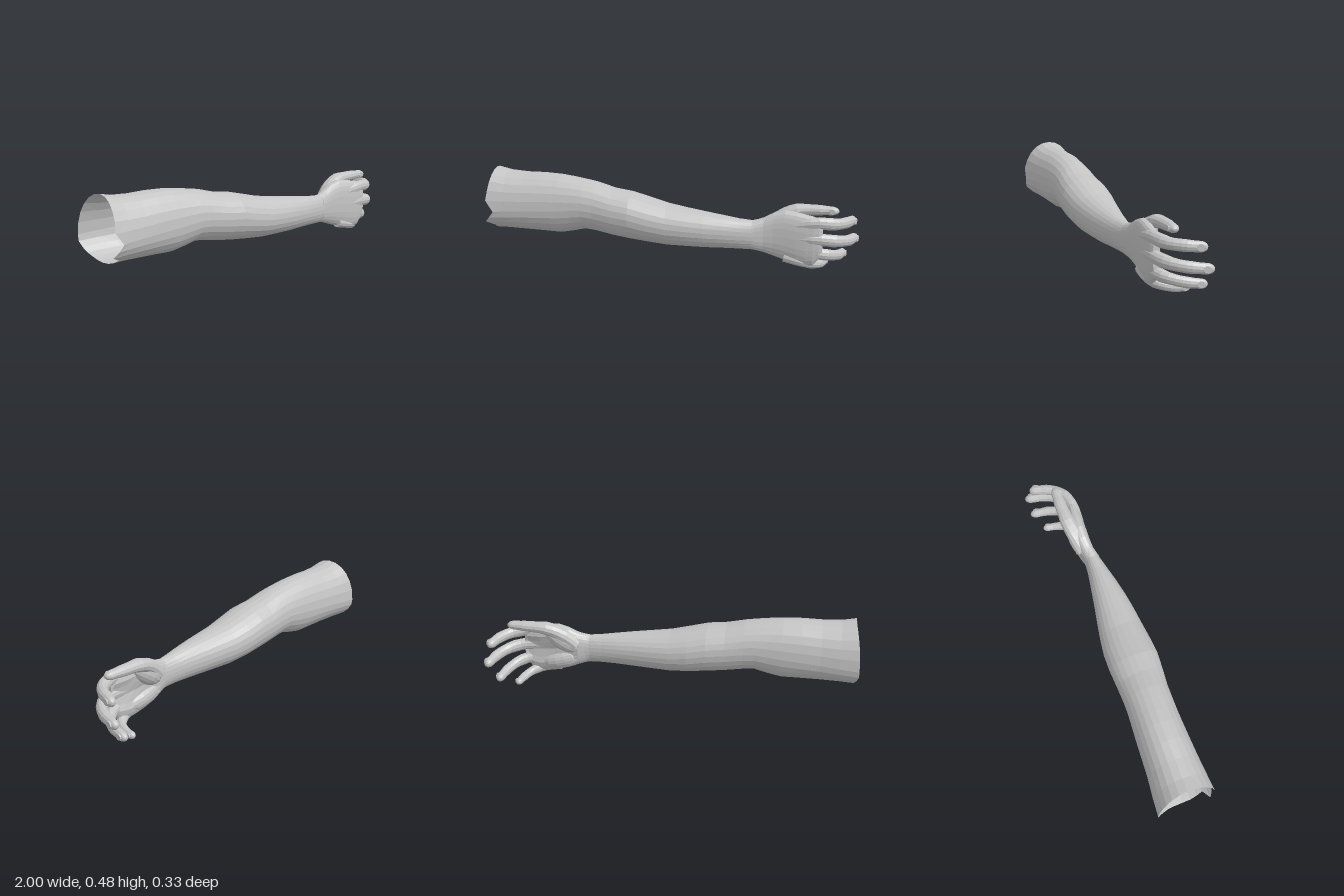
import * as THREE from 'three';

const SIDES = 24;

// Skins a list of equal-length point rings, optionally closing the ends
function loft(rings, capStart, capEnd) {
  const n = rings[0].length, pos = [], idx = [];
  rings.forEach(r => r.forEach(p => pos.push(p.x, p.y, p.z)));
  for (let i = 0; i < rings.length - 1; i++) {
    for (let j = 0; j < n; j++) {
      const a = i * n + j, b = i * n + (j + 1) % n;
      idx.push(a, b, a + n, b, b + n, a + n);
    }
  }
  const cap = (row, flip) => {
    const c = new THREE.Vector3();
    rings[row].forEach(p => c.addScaledVector(p, 1 / n));
    const k = pos.length / 3;
    pos.push(c.x, c.y, c.z);
    for (let j = 0; j < n; j++) {
      const a = row * n + j, b = row * n + (j + 1) % n;
      if (flip) idx.push(k, b, a); else idx.push(k, a, b);
    }
  };
  if (capStart) cap(0, true);
  if (capEnd) cap(rings.length - 1, false);
  const g = new THREE.BufferGeometry();
  g.setAttribute('position', new THREE.Float32BufferAttribute(pos, 3));
  g.setIndex(idx);
  g.computeVertexNormals();
  return g;
}

// Egg-shaped ring across x: top, bottom, back and front limits, height of the widest line
function ovalRing([x, top, bottom, back, front, mid = (top + bottom) / 2], power = 0.95) {
  const ring = [];
  for (let j = 0; j < SIDES; j++) {
    const a = j / SIDES * Math.PI * 2;
    const round = v => Math.sign(v) * Math.abs(v) ** power;
    const c = round(Math.cos(a));
    ring.push(new THREE.Vector3(x,
      mid + c * (c > 0 ? top - mid : mid - bottom),
      (back + front) / 2 + round(Math.sin(a)) * (front - back) / 2));
  }
  return ring;
}

// Frame at a point of a finger: u across, v towards the back of the hand, t along
function frameAt(curve, s) {
  const p = curve.getPointAt(s), t = curve.getTangentAt(s);
  const u = new THREE.Vector3(0, 1, 0).addScaledVector(t, -t.y).normalize();
  return { p, t, u, v: new THREE.Vector3().crossVectors(t, u) };
}

function fingerGeometry(curve, r0, r1, depth) {
  const stops = [0, .1, .2, .3, .38, .46, .54, .62, .7, .76, .82, .88, .92, .95, .975, .99, .998];
  const rings = stops.map(s => {
    const { p, u, v } = frameAt(curve, s);
    let r = THREE.MathUtils.lerp(r0, r1, s);
    // Slight swelling at the two joints
    r *= 1 + .07 * Math.exp(-(((s - .46) / .06) ** 2)) + .06 * Math.exp(-(((s - .74) / .05) ** 2));
    if (s > .92) r *= Math.sqrt(1 - ((s - .92) / .08) ** 2);
    return Array.from({ length: 12 }, (_, j) => {
      const a = j / 12 * Math.PI * 2;
      return p.clone().addScaledVector(u, r * Math.cos(a)).addScaledVector(v, r * depth * Math.sin(a));
    });
  });
  return loft(rings, true, true);
}

export function createModel() {
  const model = new THREE.Group();
  model.name = 'arm';
  const skin = new THREE.MeshStandardMaterial({ color: 0xc4c4c4, side: THREE.DoubleSide, flatShading: true });
  skin.name = 'skin grey';
  const add = (name, geometry, parent = model) => {
    const mesh = new THREE.Mesh(geometry, skin);
    mesh.name = name;
    parent.add(mesh);
    return mesh;
  };

  // Upper arm, elbow and forearm: x, top, bottom, back, front, widest height
  const armRings = [
    [-.98, .476, .14, -.16, .152, .255],
    [-.9, .46, .14, -.15, .148, .26],
    [-.8, .454, .137, -.136, .143, .265],
    [-.7, .455, .134, -.128, .14, .27],
    [-.6, .45, .13, -.12, .138, .275],
    [-.53, .441, .143, -.113, .138, .28],
    [-.46, .43, .161, -.107, .14, .285],
    [-.4, .419, .155, -.104, .143, .28],
    [-.3, .391, .137, -.104, .157, .265],
    [-.2, .376, .124, -.106, .168, .255],
    [-.1, .35, .113, -.1, .166],
    [0, .324, .104, -.083, .16],
    [.1, .308, .104, -.062, .153],
    [.2, .294, .104, -.04, .142],
    [.3, .28, .106, -.02, .125],
    [.38, .268, .106, -.004, .109],
    [.45, .262, .104, .006, .094],
    [.51, .277, .092, .002, .08],
  ].map(s => ovalRing(s));
  // Open shoulder end, with two steps down its front side
  const rim = [-.97, -.972, -.975, -.98, -.985, -.992, -.95, -.975, -1, -.952, -.96, -.965,
    -.965, -.966, -.97, -.98, -.99, -1, -1, -.998, -.993, -.986, -.979, -.973];
  armRings[0].forEach((p, j) => { p.x = rim[j]; });
  add('upper arm and forearm', loft(armRings, false, false));

  const hand = new THREE.Group();
  hand.name = 'hand';
  model.add(hand);

  // Palm, hollowed on its inner side
  const palmRings = [
    [.46, .261, .105, .008, .092],
    [.51, .278, .091, -.004, .08],
    [.56, .305, .073, -.014, .078],
    [.62, .322, .054, -.012, .081],
    [.68, .316, .038, -.004, .086],
    [.73, .307, .03, .006, .088],
    [.77, .3, .036, .016, .087],
    [.8, .286, .07, .024, .082],
    [.818, .262, .1, .036, .072],
  ].map(s => ovalRing(s, .8));
  palmRings.slice(2, 8).forEach(ring => ring.forEach(p => {
    if (p.z < .03) p.z += .022 * Math.max(0, 1 - ((p.y - .17) / .07) ** 2);
  }));
  add('palm', loft(palmRings, true, true), hand);

  // Fleshy pads at the base of the thumb and along the little finger side
  const pad = (name, [x, y, z], [sx, sy, sz], tilt) => {
    const mesh = add(name, new THREE.SphereGeometry(1, 14, 9), hand);
    mesh.position.set(x, y, z);
    mesh.scale.set(sx, sy, sz);
    mesh.rotation.z = tilt;
  };
  pad('thumb pad', [.6, .245, .014], [.11, .058, .05], .6);
  pad('outer palm pad', [.61, .115, .03], [.12, .05, .042], -.25);

  // Digits: centre line, base radius, tip radius, depth ratio
  const digits = [
    ['index finger', [[.68, .25, .05], [.79, .266, .056], [.88, .257, .027], [.932, .252, -.035], [.968, .244, -.134]], .036, .026, .92],
    ['middle finger', [[.68, .18, .052], [.8, .18, .06], [.89, .167, .027], [.946, .154, -.045], [.98, .141, -.165]], .036, .026, .92],
    ['ring finger', [[.66, .115, .05], [.77, .105, .055], [.848, .088, .022], [.895, .07, -.05], [.92, .055, -.16]], .034, .024, .92],
    ['little finger', [[.62, .075, .046], [.72, .05, .048], [.78, .033, .015], [.812, .022, -.045], [.826, .02, -.118]], .03, .019, 1],
    ['thumb', [[.53, .215, .026], [.6, .28, .002], [.67, .312, -.01], [.78, .319, -.012], [.895, .319, -.006]], .042, .021, 1.2],
  ];
  for (const [name, points, r0, r1, depth] of digits) {
    const curve = new THREE.CatmullRomCurve3(points.map(p => new THREE.Vector3(...p)));
    add(name, fingerGeometry(curve, r0, r1, depth), hand);
    // Fingernail: thin rounded plate on the outer face of the tip
    const { p, t, u, v } = frameAt(curve, .91);
    const nail = add(name + ' nail', new THREE.CylinderGeometry(r1 * .66, r1 * .74, .006, 10).scale(1, 1, 1.2), hand);
    nail.quaternion.setFromRotationMatrix(new THREE.Matrix4().makeBasis(u, v, t));
    nail.position.copy(p).addScaledVector(v, r1 * depth * .95);
  }
  return model;
}
